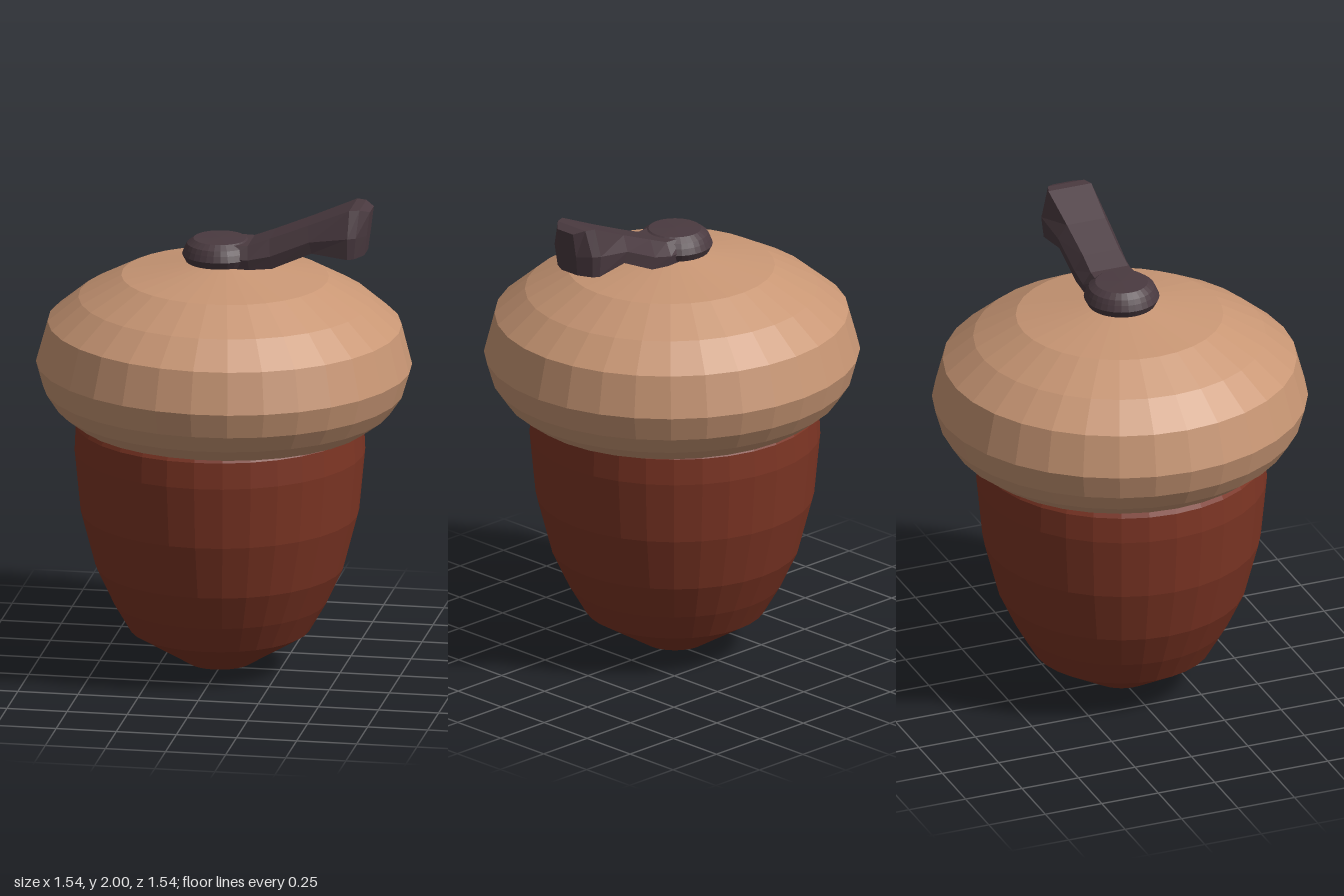
import * as THREE from 'three';

const mat = (name, color) => {
  const m = new THREE.MeshStandardMaterial({ color, flatShading: true });
  m.name = name;
  return m;
};

// Revolve a [radius, height] profile, listed from the bottom up
const lathe = (name, profile, material) => {
  const points = profile.map(([r, y]) => new THREE.Vector2(r, y));
  const mesh = new THREE.Mesh(new THREE.LatheGeometry(points, 32), material);
  mesh.name = name;
  return mesh;
};

// Skin six-sided sections along x: [xTop, yTop, xBottom, yBottom, halfTop, halfBottom]
function loft(sections) {
  const pos = [], index = [], n = 6;
  for (const [xt, yt, xb, yb, ht, hb] of sections) {
    const ring = [[1, ht], [0.45, hb], [0, hb * 0.92], [0, -hb * 0.92], [0.45, -hb], [1, -ht]];
    for (const [t, z] of ring) pos.push(xb + (xt - xb) * t, yb + (yt - yb) * t, z);
  }
  for (let i = 0; i < sections.length - 1; i++) {
    for (let j = 0; j < n; j++) {
      const a = i * n + j, b = i * n + (j + 1) % n;
      index.push(a, b, a + n, b, b + n, a + n);
    }
  }
  const last = (sections.length - 1) * n;
  for (let j = 1; j < n - 1; j++) {
    index.push(0, j + 1, j, last, last + j, last + j + 1);
  }
  const g = new THREE.BufferGeometry();
  g.setAttribute('position', new THREE.Float32BufferAttribute(pos, 3));
  g.setIndex(index);
  g.computeVertexNormals();
  return g;
}

export function createModel() {
  const nutMat = mat('nut brown', 0x7d3524);
  const capMat = mat('cap tan', 0xc89674);
  const stemMat = mat('stem dark brown', 0x4a3a40);
  const acorn = new THREE.Group();
  acorn.name = 'acorn';

  // Nut, running up into the cap
  acorn.add(lathe('nut', [
    [0, 0], [0.13, 0.025], [0.37, 0.17], [0.44, 0.29], [0.51, 0.44],
    [0.57, 0.67], [0.595, 0.93], [0.59, 1.04], [0.55, 1.12], [0, 1.14],
  ], nutMat));

  // Cap with a rolled lower rim, tilted slightly
  const pivot = new THREE.Group();
  pivot.name = 'capTilt';
  pivot.rotation.z = -0.013;
  pivot.add(lathe('cap', [
    [0.54, 1.16], [0.58, 1.075], [0.61, 1.06], [0.69, 1.12], [0.74, 1.195],
    [0.77, 1.30], [0.725, 1.47], [0.60, 1.575], [0.425, 1.67], [0, 1.75],
  ], capMat));
  acorn.add(pivot);

  // Bent stem: round foot and flaring arm
  const stem = new THREE.Group();
  stem.name = 'stem';
  stem.add(lathe('stemFoot', [
    [0, 1.725], [0.14, 1.735], [0.155, 1.765], [0.145, 1.79], [0.135, 1.81], [0.108, 1.83], [0, 1.832],
  ], stemMat));
  const arm = new THREE.Mesh(loft([
    [0.04, 1.825, 0.06, 1.73, 0.09, 0.11],
    [0.13, 1.825, 0.14, 1.73, 0.083, 0.115],
    [0.22, 1.86, 0.235, 1.74, 0.08, 0.115],
    [0.38, 1.925, 0.40, 1.815, 0.085, 0.12],
    [0.555, 2.0, 0.55, 1.797, 0.095, 0.128],
    [0.595, 2.0, 0.575, 1.797, 0.08, 0.11],
    [0.632, 1.985, 0.608, 1.80, 0.045, 0.05],
  ]), stemMat);
  arm.name = 'stemArm';
  stem.add(arm);
  acorn.add(stem);
  return acorn;
}
